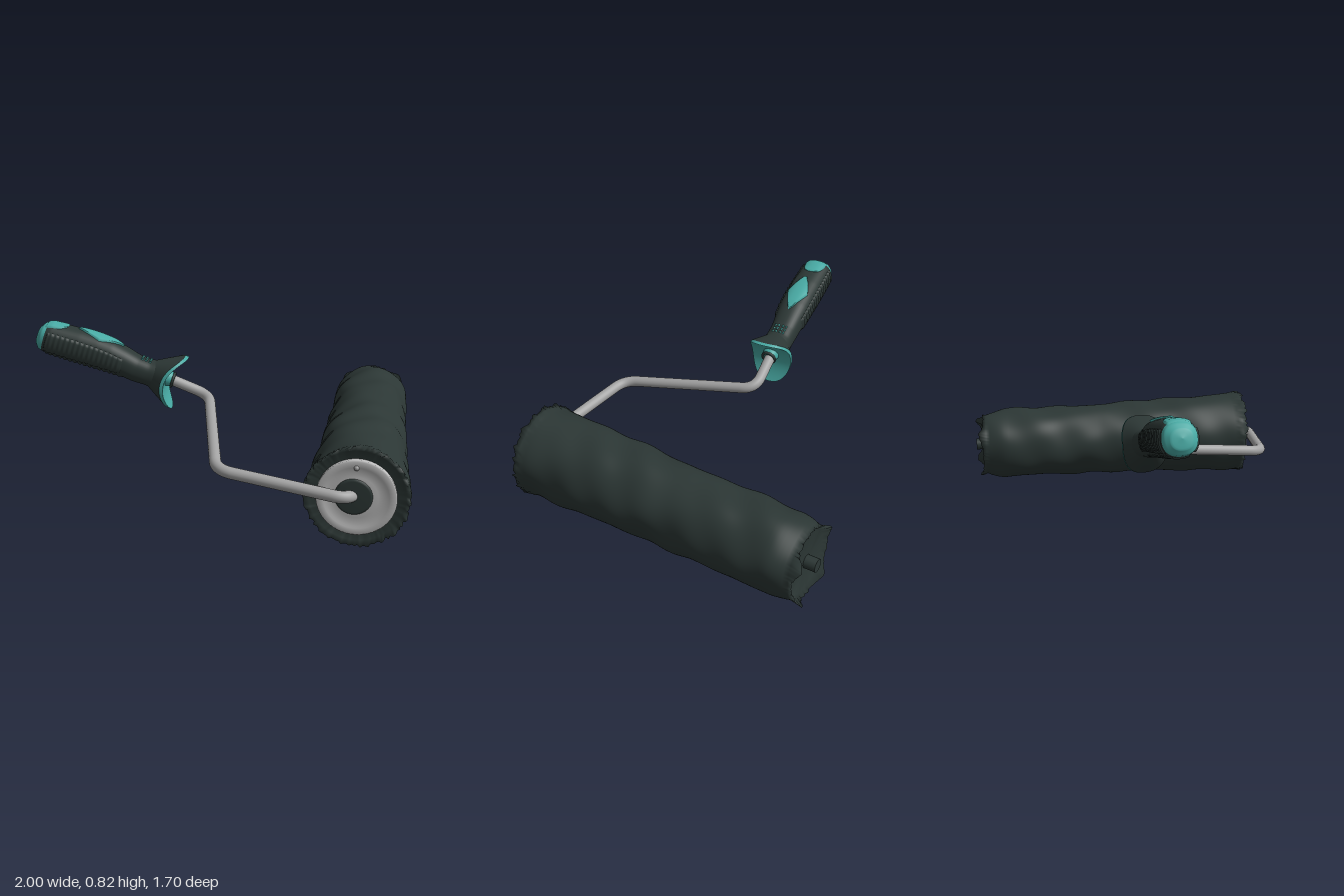
import * as THREE from 'three';

const mat = (name, color, side = THREE.FrontSide) => {
  const m = new THREE.MeshStandardMaterial({ color, side });
  m.name = name;
  return m;
};
const hash = (n) => { const s = Math.sin(n * 127.1 + 3.7) * 43758.5453; return s - Math.floor(s); };
const { lerp, clamp } = THREE.MathUtils;
const TAU = Math.PI * 2;

// Surface from a rule: fn(i, j) gives a point, wrap closes the j direction
function grid(ni, nj, fn, wrap = false) {
  const pos = [], idx = [], cols = wrap ? nj : nj + 1;
  for (let i = 0; i <= ni; i++) for (let j = 0; j < cols; j++) pos.push(...fn(i, j));
  for (let i = 0; i < ni; i++) for (let j = 0; j < nj; j++) {
    const k = (j + 1) % cols;
    const a = i * cols + j, b = a + cols, c = (i + 1) * cols + k, d = i * cols + k;
    idx.push(a, b, d, b, c, d);
  }
  const g = new THREE.BufferGeometry();
  g.setAttribute('position', new THREE.Float32BufferAttribute(pos, 3));
  g.setIndex(idx);
  g.computeVertexNormals();
  return g;
}

// Handle sections along its axis: [u, top, bottom, half width]
const sections = [
  [-0.73, -0.005, -0.006, 0.001], [-0.722, 0.035, -0.055, 0.05], [-0.7, 0.066, -0.08, 0.078],
  [-0.66, 0.082, -0.088, 0.087], [-0.5, 0.096, -0.084, 0.091], [-0.4, 0.098, -0.08, 0.09],
  [-0.32, 0.093, -0.077, 0.088], [-0.24, 0.077, -0.076, 0.081], [-0.17, 0.06, -0.083, 0.075],
  [-0.1, 0.057, -0.08, 0.075], [-0.03, 0.075, -0.088, 0.085],
];
function handlePoint(u, a, off = 0) {
  let k = 0;
  while (k < sections.length - 2 && u > sections[k + 1][0]) k++;
  const p = sections[k], q = sections[k + 1], t = clamp((u - p[0]) / (q[0] - p[0]), 0, 1);
  const [top, bot, half] = [1, 2, 3].map((n) => lerp(p[n], q[n], t));
  const c = Math.cos(a), s = Math.sin(a);
  const f = (x) => Math.sign(x) * Math.abs(x) ** 0.85;
  return [u, (top + bot) / 2 + f(c) * ((top - bot) / 2 + off), -f(s) * (half + off)];
}
// Raised plate lying on the handle, with its border sunk below the skin
function plate(ni, nj, rule, height) {
  return grid(ni, nj, (i, j) => {
    const [u, a] = rule(i / ni, (j / nj) * 2 - 1);
    const edge = i === 0 || j === 0 || i === ni || j === nj;
    return handlePoint(u, a, edge ? -0.004 : height(i));
  });
}

export function createModel() {
  const dark = mat('dark green grey', 0x2c3735);
  const darkOpen = mat('dark green grey cover', 0x2c3735, THREE.DoubleSide);
  const teal = mat('teal', 0x48aaa4);
  const steel = mat('steel', 0xa3a3a3);
  const pale = mat('pale grey', 0xbebebe);
  const root = new THREE.Group();
  root.name = 'paintRoller';
  const add = (parent, name, geo, m) => {
    const mesh = new THREE.Mesh(geo, m);
    mesh.name = name;
    parent.add(mesh);
    return mesh;
  };

  // Handle, built along its own axis
  const handle = new THREE.Group();
  handle.name = 'handle';
  handle.position.set(-0.3, 0.545, 0.012);
  handle.rotation.set(0, 0.08, -0.317, 'YZX');
  root.add(handle);
  add(handle, 'gripBody', grid(60, 40, (i, j) => handlePoint(lerp(-0.68, -0.03, i / 60), (j / 40) * TAU), true), dark);
  add(handle, 'endCap', grid(16, 40, (i, j) => handlePoint(-0.73 + 0.05 * (i / 16) ** 2, (j / 40) * TAU), true), teal);
  add(handle, 'endCapTongue', plate(16, 12, (s, t) =>
    [lerp(-0.695, -0.575, s), t * 0.75 * Math.sqrt(1 - s ** 3)], () => 0.005), teal);
  add(handle, 'diamondInlay', plate(24, 12, (s, t) =>
    [lerp(-0.53, -0.26, s), t * 0.72 * (1 - Math.abs(2 * s - 1))], () => 0.008), teal);
  for (const side of [1, -1]) {
    add(handle, 'ribbedSidePanel', plate(64, 10, (s, t) =>
      [lerp(-0.67, -0.24, s), side * 1.72 + t * (0.72 - 0.15 * s)], (i) => (i % 4 < 2 ? 0.008 : 0.003)), dark);
  }
  add(handle, 'ribbedUnderside', plate(64, 8, (s, t) =>
    [lerp(-0.66, -0.22, s), Math.PI + t * 0.6], (i) => (i % 4 < 2 ? 0.007 : 0.002)), dark);
  for (let r = 0; r < 3; r++) for (let c = 0; c < 4; c++) {
    add(handle, 'neckGripDot', plate(4, 4, (s, t) =>
      [-0.16 + r * 0.022 + s * 0.016, (c - 1.5) * 0.24 + t * 0.085], () => 0.005), teal);
  }

  // Curved finger guard: teal face and rim, dark back flaring from the neck
  const guardPoint = (r, a, t) => {
    const f = (x) => Math.sign(x) * Math.abs(x) ** 0.8;
    const v = -0.01 + 0.147 * r * f(Math.cos(a)), w = -0.117 * r * f(Math.sin(a));
    return [0.002 + 0.078 * ((v + 0.01) / 0.147) ** 2 - t, v, w];
  };
  const N = 56;
  add(handle, 'guardFace', grid(14, N, (i, j) => guardPoint(1 - i / 14, (j / N) * TAU, 0), true), teal);
  add(handle, 'guardRim', grid(1, N, (i, j) => guardPoint(1, (j / N) * TAU, 0.02 * (1 - i)), true), teal);
  add(handle, 'guardBack', grid(14, N, (i, j) => {
    const r = i / 14;
    return guardPoint(r, (j / N) * TAU, 0.02 + 0.17 * (1 - r) ** 1.1);
  }, true), dark);
  const collar = add(handle, 'rodCollar', new THREE.CylinderGeometry(0.038, 0.046, 0.04, 28), teal);
  collar.rotation.z = -Math.PI / 2;
  collar.position.set(0.018, -0.008, 0);
  const ring = add(handle, 'collarRing', new THREE.TorusGeometry(0.036, 0.008, 10, 28), dark);
  ring.rotation.y = Math.PI / 2;
  ring.position.set(0.036, -0.008, 0);

  // Bent rod: straight runs joined by rounded corners
  const corners = [[-0.36, 0.56, 0.015], [-0.075, 0.44, -0.018], [0.1, 0.337, 0.74], [0.725, 0.274, 0.826], [0.757, 0.266, 0.7]]
    .map((p) => new THREE.Vector3(...p));
  const path = new THREE.CurvePath();
  let from = corners[0];
  for (let k = 1; k < corners.length; k++) {
    const c = corners[k], next = corners[k + 1];
    if (!next) { path.add(new THREE.LineCurve3(from, c)); break; }
    const toward = (p) => c.clone().add(p.clone().sub(c).setLength(0.08));
    const a = toward(corners[k - 1]), b = toward(next);
    path.add(new THREE.LineCurve3(from, a));
    path.add(new THREE.QuadraticBezierCurve3(a, c, b));
    from = b;
  }
  add(root, 'rod', new THREE.TubeGeometry(path, 160, 0.029, 20), steel);

  // Fleece cover: lumpy tapering sleeve with ragged ends
  const centre = (z) => {
    const t = (0.77 - z) / 1.58;
    return [lerp(0.757, 0.777, t), lerp(0.262, 0.238, t)];
  };
  const M = 120, L = 70;
  const flaps = [[0.55, 0.045], [-0.75, 0.04], [2.6, 0.025], [4.1, 0.02]];
  const cover = grid(L + 6, M, (i, j) => {
    const a = (j / M) * TAU;
    let r, z;
    if (i === 0) [r, z] = [0.165, 0.752];
    else if (i === 1) [r, z] = [0.222, 0.756];
    else if (i === 2) [r, z] = [0.236 + 0.014 * hash(j), 0.762 + 0.024 * hash(j + 200)];
    else if (i <= L + 3) {
      const t = (i - 3) / L;
      z = lerp(0.745, -0.79, t);
      r = lerp(0.238, 0.213, Math.min(1, t * 1.8)) - 0.008 * t;
      r -= 0.026 * clamp((-0.68 - z) / 0.11, 0, 1) ** 1.5;
      r += 0.0035 * Math.sin(z * 19 + 2 * Math.sin(a * 2)) + 0.003 * Math.sin(a * 5 + z * 9)
        + 0.0025 * Math.sin(a * 3 - z * 27);
      if (i === 3) r += 0.006 * hash(j + 50);
    } else if (i === L + 4) {
      r = 0.172 + 0.008 * hash(j + 400);
      z = -0.805 - 0.008 * hash(j + 500);
      for (const [fa, h] of flaps) {
        const d = Math.atan2(Math.sin(a - fa), Math.cos(a - fa));
        const e = Math.exp(-((d / 0.26) ** 2));
        z -= h * e;
        r += 0.02 * e;
      }
    } else if (i === L + 5) [r, z] = [0.16, -0.79];
    else [r, z] = [0.0005, -0.79];
    const [cx, cy] = centre(z);
    return [cx + r * Math.cos(a), cy + r * Math.sin(a), z];
  }, true);
  add(root, 'fleeceCover', cover, darkOpen);

  // Front end plate with a recessed ring, hub and rivet
  const lathe = (pts) => new THREE.LatheGeometry(pts.map((p) => new THREE.Vector2(...p)), 56).rotateX(Math.PI / 2);
  const plateGroup = new THREE.Group();
  plateGroup.name = 'frontEndPlate';
  plateGroup.position.set(0.755, 0.262, 0.75);
  root.add(plateGroup);
  add(plateGroup, 'endPlate', lathe([[0.183, 0], [0.185, 0.028], [0.178, 0.034], [0.15, 0.034],
    [0.142, 0.026], [0.1, 0.024], [0.09, 0.03], [0.001, 0.03]]), pale);
  const hub = add(plateGroup, 'hub', lathe([[0.088, 0.02], [0.086, 0.034], [0.076, 0.038], [0.001, 0.038]]), dark);
  hub.position.set(-0.012, 0.006, 0);
  const rivet = add(plateGroup, 'rivet', new THREE.SphereGeometry(0.013, 14, 10), steel);
  rivet.position.set(-0.005, 0.148, 0.03);

  // Rear axle pin
  const pin = add(root, 'axlePin', new THREE.CylinderGeometry(0.033, 0.033, 0.08, 24), dark);
  pin.rotation.x = Math.PI / 2;
  pin.position.set(0.775, 0.24, -0.81);

  return root;
}
